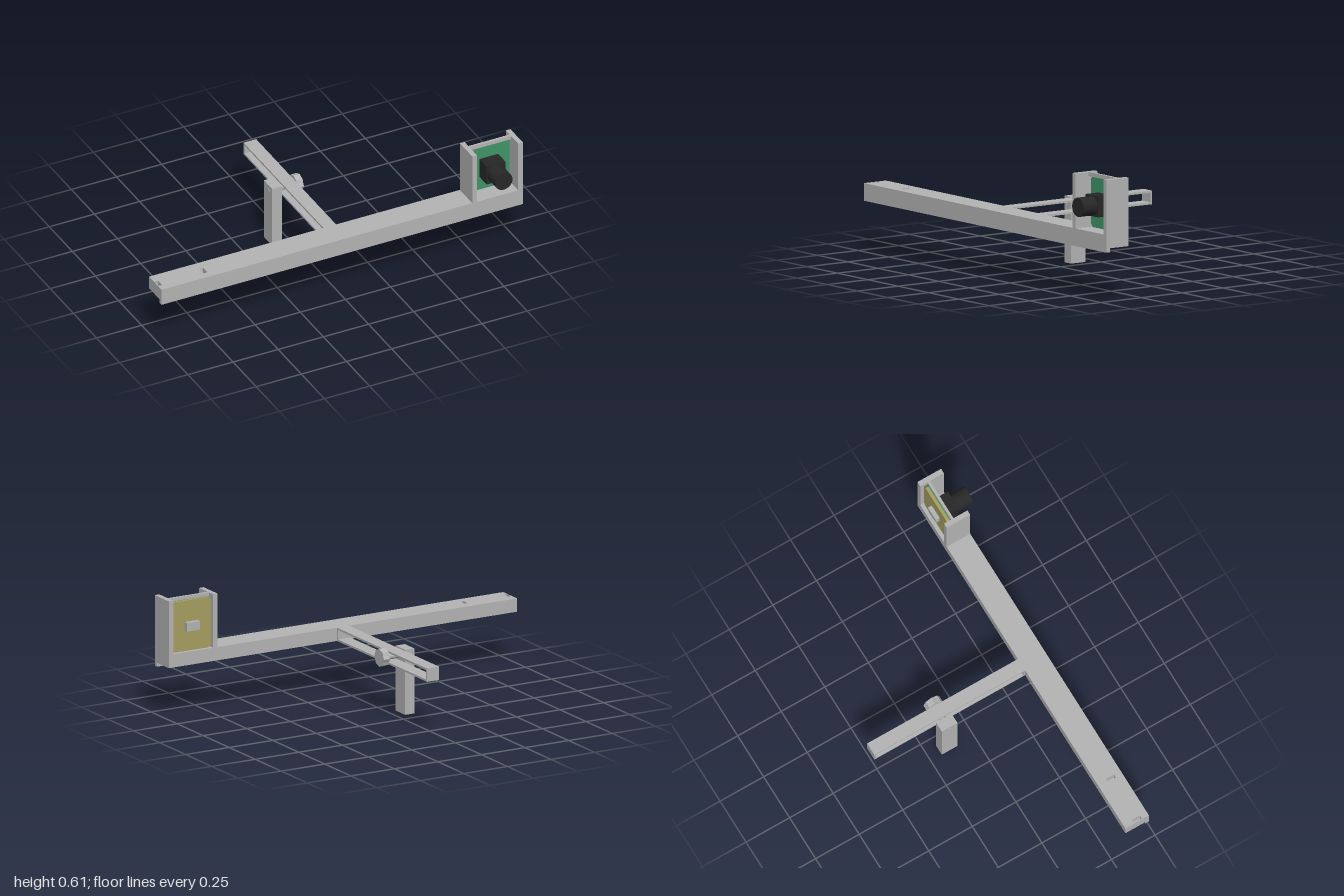
import * as THREE from 'three';

const mat = (name, color) => {
  const m = new THREE.MeshStandardMaterial({ color });
  m.name = name;
  return m;
};

// Closed outline from [x, y] pairs
const path = (pts, Type = THREE.Path) => new Type(pts.map(([x, y]) => new THREE.Vector2(x, y)));
const rect = (x0, x1, y0, y1) => [[x0, y0], [x1, y0], [x1, y1], [x0, y1]];

// Extruded outline with optional holes
function plate(outline, depth, holes = []) {
  const shape = path(outline, THREE.Shape);
  holes.forEach(h => shape.holes.push(path(h)));
  return new THREE.ExtrudeGeometry(shape, { depth, bevelEnabled: false });
}

export function createModel() {
  const grey = mat('greyPlastic', 0xb4b4b4);
  const green = mat('boardGreen', 0x3f9468);
  const olive = mat('boardOlive', 0xa89f60);
  const black = mat('lensBlack', 0x272727);
  const model = new THREE.Group();
  model.name = 'cameraRail';

  const add = (name, geo, material, parent = model) => {
    const mesh = new THREE.Mesh(geo, material);
    mesh.name = name;
    parent.add(mesh);
    return mesh;
  };
  // Box given by its limits on each axis
  const box = (name, m, [x0, x1], [y0, y1], [z0, z1], parent) => {
    const g = new THREE.BoxGeometry(x1 - x0, y1 - y0, z1 - z0);
    g.translate((x0 + x1) / 2, (y0 + y1) / 2, (z0 + z1) / 2);
    return add(name, g, m, parent);
  };

  // Long cross bar: solid lower layer, slotted upper layer, front lip
  box('barBase', grey, [-1, 1], [0.265, 0.29], [0.33, 0.465]);
  const slots = [-0.987, -0.737].map(x => rect(x - 0.01, x + 0.01, -0.426, -0.382));
  const top = plate(rect(-1, 1, -0.465, -0.33), 0.043, slots);
  top.rotateX(-Math.PI / 2).translate(0, 0.29, 0);
  add('barTop', top, grey);
  box('barLip', grey, [-1, 1], [0.245, 0.265], [0.444, 0.465]);

  // Rear arm with a long slot through its sides
  const arm = plate(rect(-0.33, 0.535, 0.265, 0.333), 0.07, [rect(-0.32, 0.525, 0.275, 0.323)]);
  arm.rotateY(Math.PI / 2).translate(-0.035, 0, 0);
  add('slottedArm', arm, grey);

  // Support post, clamp bolt and lobed knob
  const pivot = [0.299, -0.142];
  box('supportPost', grey, [-0.1, -0.047], [0, 0.333], [-0.187, -0.097]);
  const bolt = new THREE.CylinderGeometry(0.016, 0.016, 0.142, 20);
  bolt.rotateZ(Math.PI / 2).translate(-0.031, ...pivot);
  add('clampBolt', bolt, grey);
  const lobes = [];
  for (let i = 0; i < 16; i++) {
    const a = i * Math.PI / 8, r = i % 2 ? 0.0415 : 0.0465;
    lobes.push([Math.cos(a) * r, Math.sin(a) * r]);
  }
  const knob = plate(lobes, 0.035);
  knob.rotateY(Math.PI / 2).translate(0.04, ...pivot);
  add('clampKnob', knob, grey);
  const collar = new THREE.CylinderGeometry(0.025, 0.025, 0.006, 20);
  collar.rotateZ(Math.PI / 2).translate(0.038, ...pivot);
  add('knobCollar', collar, grey);

  // Camera housing: two side walls and a lintel
  const housing = new THREE.Group();
  housing.name = 'cameraHousing';
  model.add(housing);
  for (const x of [0.72, 0.974]) {
    box('housingWall', grey, [x, x + 0.026], [0.333, 0.607], [0.33, 0.465], housing);
  }
  box('housingLintel', grey, [0.746, 0.974], [0.587, 0.607], [0.371, 0.385], housing);

  // Circuit board with clipped corners: olive body, thin green face
  const [l, r, b, t, c] = [0.746, 0.974, 0.333, 0.59, 0.016];
  const outline = [[l + c, b], [r - c, b], [r, b + c], [r, t - c],
    [r - c, t], [l + c, t], [l, t - c], [l, b + c]];
  add('boardBack', plate(outline, 0.016).translate(0, 0, 0.35), olive, housing);
  add('boardFront', plate(outline, 0.005).translate(0, 0, 0.366), green, housing);
  box('rearConnector', grey, [0.822, 0.897], [0.438, 0.482], [0.328, 0.35], housing);

  // Lens block and barrel
  box('lensBlock', black, [0.807, 0.911], [0.408, 0.512], [0.371, 0.45], housing);
  const barrel = new THREE.CylinderGeometry(0.048, 0.048, 0.085, 40);
  barrel.rotateX(Math.PI / 2).translate(0.859, 0.46, 0.4925);
  add('lensBarrel', barrel, black, housing);

  return model;
}
